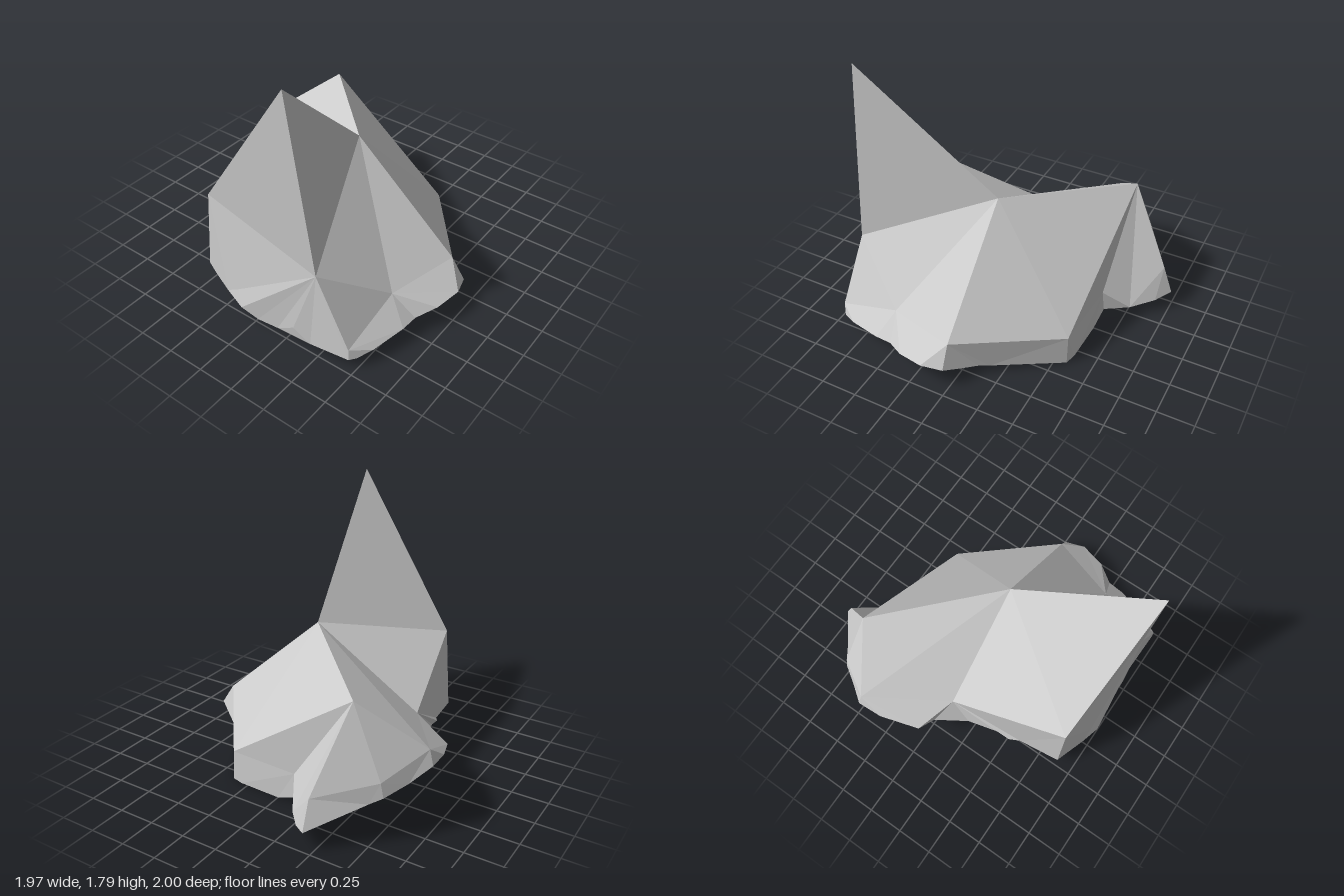
import * as THREE from 'three';

// Underside height depends only on x
const keel = [[-1, 0.47], [-0.89, 0.37], [-0.82, 0.33], [-0.5, 0.16], [-0.42, 0.12], [-0.12, 0.05],
  [0, 0], [0.46, 0], [0.7, 0.06], [0.86, 0.12], [1, 0.18]];

function keelHeight(x) {
  const i = Math.max(1, keel.findIndex(k => x <= k[0]));
  const [x0, y0] = keel[i - 1], [x1, y1] = keel[i];
  return y0 + (y1 - y0) * (x - x0) / (x1 - x0);
}

// Bottom outline as [x, z], from the back tip round by the +x side
const rim = [[-0.45, -1], [-0.35, -0.92], [-0.23, -0.78], [-0.15, -0.62], [0, -0.61], [0.3, -0.6], [0.38, -0.58],
  [0.68, -0.17], [0.73, -0.11], [0.82, -0.05], [0.94, 0.03], [0.98, 0.17], [0.94, 0.35], [0.86, 0.48],
  [0.85, 0.6], [0.79, 0.83], [0.74, 0.93], [0.7, 0.96], [0.4, 0.95], [0.15, 0.965], [0, 0.98],
  [-0.12, 1], [-0.27, 0.96], [-0.42, 0.91], [-0.49, 0.89], [-0.53, 0.6], [-0.57, 0.53], [-0.56, 0.47],
  [-0.63, 0.23], [-0.77, 0.04], [-0.89, 0], [-0.98, -0.25], [-0.99, -0.42], [-0.9, -0.55],
  [-0.81, -0.69], [-0.74, -0.74]];

// Corners of the upper rock
const corner = {
  A: [0.29, 1.79, 0.98], // spike
  B: [0.12, 0.96, 0.06], // middle of the top
  C: [-0.57, 0.87, -0.64], D: [-0.45, 0.73, 0.88], E: [0.45, 0.57, 0.94],
  F: [-0.96, 0.56, -0.41], G: [-0.62, 0.47, 0.1], H: [0.37, 0.21, -0.58],
  I: [0.85, 0.3, 0.04], J: [0.71, 0.27, 0.52], K: [0.7, 0.14, 0.96],
  L: [0.28, 0.08, 0.965], M: [-0.17, 0.15, 0.965],
  P: [-0.45, 0.33, -0.93], Q: [-0.79, 0.42, -0.69], R: [-0.13, 0.22, -0.61],
};
const topFaces = ['BHC', 'BIH', 'BJI', 'BEJ', 'BAE', 'BDA', 'BGD', 'BFG', 'BCF', 'ADE',
  'DME', 'JEK', 'FCQ', 'CPQ', 'CHR'];

// Each corner fans down to this many rim edges, in rim order
const skirt = [['P', 2], ['C', 0], ['R', 3], ['H', 2], ['I', 4], ['J', 3], ['K', 3], ['E', 1], ['L', 1],
  ['E', 2], ['M', 1], ['D', 3], ['G', 5], ['F', 3], ['Q', 2], ['P', 1]];

// Keep the part of an outline on one side of a line of constant x
function clip(points, limit, sign) {
  const out = [];
  points.forEach((p, i) => {
    const q = points[(i + 1) % points.length];
    const dp = sign * (p[0] - limit), dq = sign * (q[0] - limit);
    if (dp >= 0) out.push(p);
    if (dp * dq < 0) {
      const t = dp / (dp - dq);
      out.push([limit, p[1] + (q[1] - p[1]) * t]);
    }
  });
  return out;
}

function facetedMesh(name, triangles, material) {
  const geometry = new THREE.BufferGeometry();
  geometry.setAttribute('position', new THREE.Float32BufferAttribute(triangles.flat(2), 3));
  geometry.computeVertexNormals();
  const mesh = new THREE.Mesh(geometry, material);
  mesh.name = name;
  return mesh;
}

export function createModel() {
  const group = new THREE.Group();
  group.name = 'rock';
  const material = new THREE.MeshStandardMaterial({ color: 0xcccccc, flatShading: true });
  const onKeel = ([x, z]) => [x, keelHeight(x), z];
  const rimPoint = i => onKeel(rim[i % rim.length]);

  // Top facets, spike and sides
  const upper = topFaces.map(face => [...face].map(c => corner[c]));
  let at = 0;
  skirt.forEach(([name, edges], i) => {
    for (let k = 0; k < edges; k++, at++) upper.push([rimPoint(at + 1), rimPoint(at), corner[name]]);
    const next = skirt[(i + 1) % skirt.length][0];
    if (next !== name) upper.push([corner[name], corner[next], rimPoint(at)]);
  });
  group.add(facetedMesh('upperRock', upper, material));

  // Underside, in strips that follow the keel
  const under = [];
  for (let i = 1; i < keel.length; i++) {
    const strip = clip(clip(rim, keel[i - 1][0], 1), keel[i][0], -1);
    if (strip.length < 3) continue;
    const outline = strip.map(([x, z]) => new THREE.Vector2(x, z));
    for (const face of THREE.ShapeUtils.triangulateShape(outline, [])) {
      const [a, b, c] = face.map(n => onKeel(strip[n]));
      const up = (b[2] - a[2]) * (c[0] - a[0]) - (b[0] - a[0]) * (c[2] - a[2]);
      under.push(up > 0 ? [a, c, b] : [a, b, c]);
    }
  }
  group.add(facetedMesh('underside', under, material));
  return group;
}
